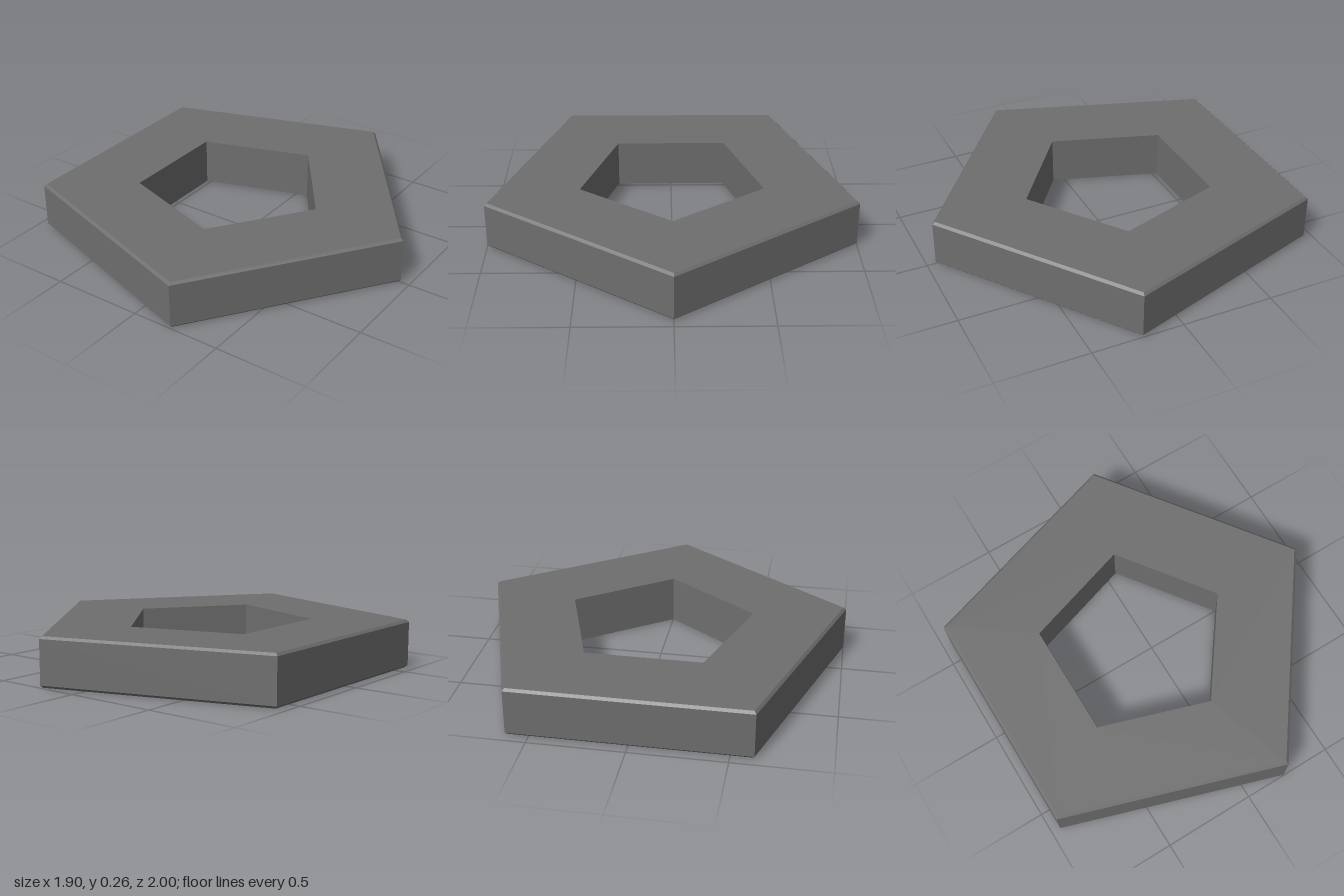
import * as THREE from 'three';

const OUTER = 1.0515; // circumradius of the outer pentagon
const INNER = 0.526;  // circumradius of the hole
const HEIGHT = 0.263;
const BEVEL = 0.013;  // chamfer of the outer rims

export function createModel() {
  const group = new THREE.Group();
  group.name = 'pentagonNut';

  // Closed cross-section: square at the hole, chamfered at the outer rims
  const bevelX = BEVEL / Math.cos(Math.PI / 5); // measured along a corner
  const profile = [
    [INNER, 0],
    [OUTER - bevelX, 0],
    [OUTER, BEVEL],
    [OUTER, HEIGHT - BEVEL],
    [OUTER - bevelX, HEIGHT],
    [INNER, HEIGHT],
    [INNER, 0],
  ].map(([x, y]) => new THREE.Vector2(x, y));

  // Five-sided sweep with one corner pointing to +x
  const geometry = new THREE.LatheGeometry(profile, 5, Math.PI / 2);
  geometry.translate(OUTER * (Math.cos(Math.PI / 5) - 1) / 2, 0, 0);

  const ring = new THREE.Mesh(
    geometry,
    new THREE.MeshStandardMaterial({ color: 0x6e6e6e, flatShading: true })
  );
  ring.name = 'pentagonRing';
  group.add(ring);
  return group;
}
